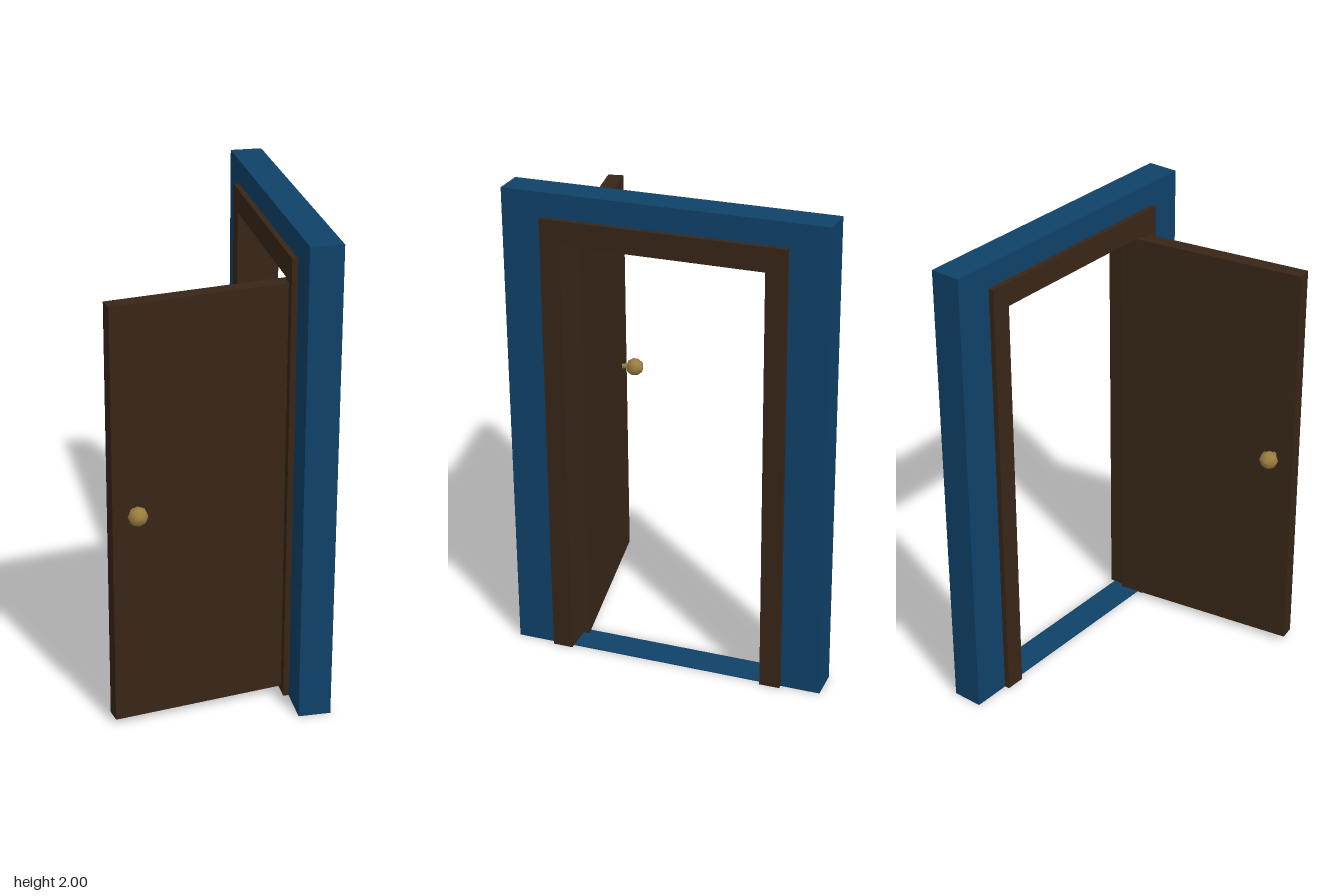
import * as THREE from 'three';

const wallMat = new THREE.MeshStandardMaterial({ color: 0x0f4269 });
const woodMat = new THREE.MeshStandardMaterial({ color: 0x382617 });
const brassMat = new THREE.MeshStandardMaterial({ color: 0x9c7f40 });

// Upside-down U (open at the floor) standing in the zy plane, centred on x
function archway(name, halfOuter, top, halfInner, innerTop, bottom, depth, material) {
  const shape = new THREE.Shape([
    [-halfOuter, bottom], [-halfInner, bottom], [-halfInner, innerTop], [halfInner, innerTop],
    [halfInner, bottom], [halfOuter, bottom], [halfOuter, top], [-halfOuter, top],
  ].map(([x, y]) => new THREE.Vector2(x, y)));
  const geo = new THREE.ExtrudeGeometry(shape, { depth, bevelEnabled: false });
  geo.translate(0, 0, -depth / 2).rotateY(Math.PI / 2);
  const mesh = new THREE.Mesh(geo, material);
  mesh.name = name;
  return mesh;
}

function box(name, w, h, d, material) {
  const mesh = new THREE.Mesh(new THREE.BoxGeometry(w, h, d), material);
  mesh.name = name;
  return mesh;
}

export function createModel() {
  const model = new THREE.Group();
  model.name = 'openDoor';

  // Wall surround and door casing
  const wall = archway('wall', 0.665, 2, 0.5, 1.9, 0, 0.133, wallMat);
  wall.position.x = 0.362;
  const casing = archway('doorCasing', 0.5, 1.9, 0.415, 1.8, 0.002, 0.178, woodMat);
  casing.position.x = 0.361;

  // Thin floor strip across the opening
  const sill = box('sill', 0.133, 0.004, 1, wallMat);
  sill.position.set(0.362, 0.002, 0);
  model.add(wall, casing, sill);

  // Door leaf, swung open
  const door = new THREE.Group();
  door.name = 'door';
  door.position.set(-0.043, 0.908, 0.479);
  door.rotation.y = THREE.MathUtils.degToRad(10);
  door.add(box('doorLeaf', 0.82, 1.765, 0.065, woodMat));

  // A turned knob on each face
  const profile = [[0.012, 0.03], [0.012, 0.058], [0.026, 0.058], [0.04, 0.08],
    [0.038, 0.1], [0.022, 0.12], [0, 0.124]].map(([r, y]) => new THREE.Vector2(r, y));
  const knobGeo = new THREE.LatheGeometry(profile, 8);
  for (const side of [1, -1]) {
    const knob = new THREE.Mesh(knobGeo, brassMat);
    knob.name = side > 0 ? 'frontKnob' : 'backKnob';
    knob.position.set(-0.325, 0.037, 0);
    knob.rotation.x = side * Math.PI / 2;
    door.add(knob);
  }
  model.add(door);
  return model;
}
